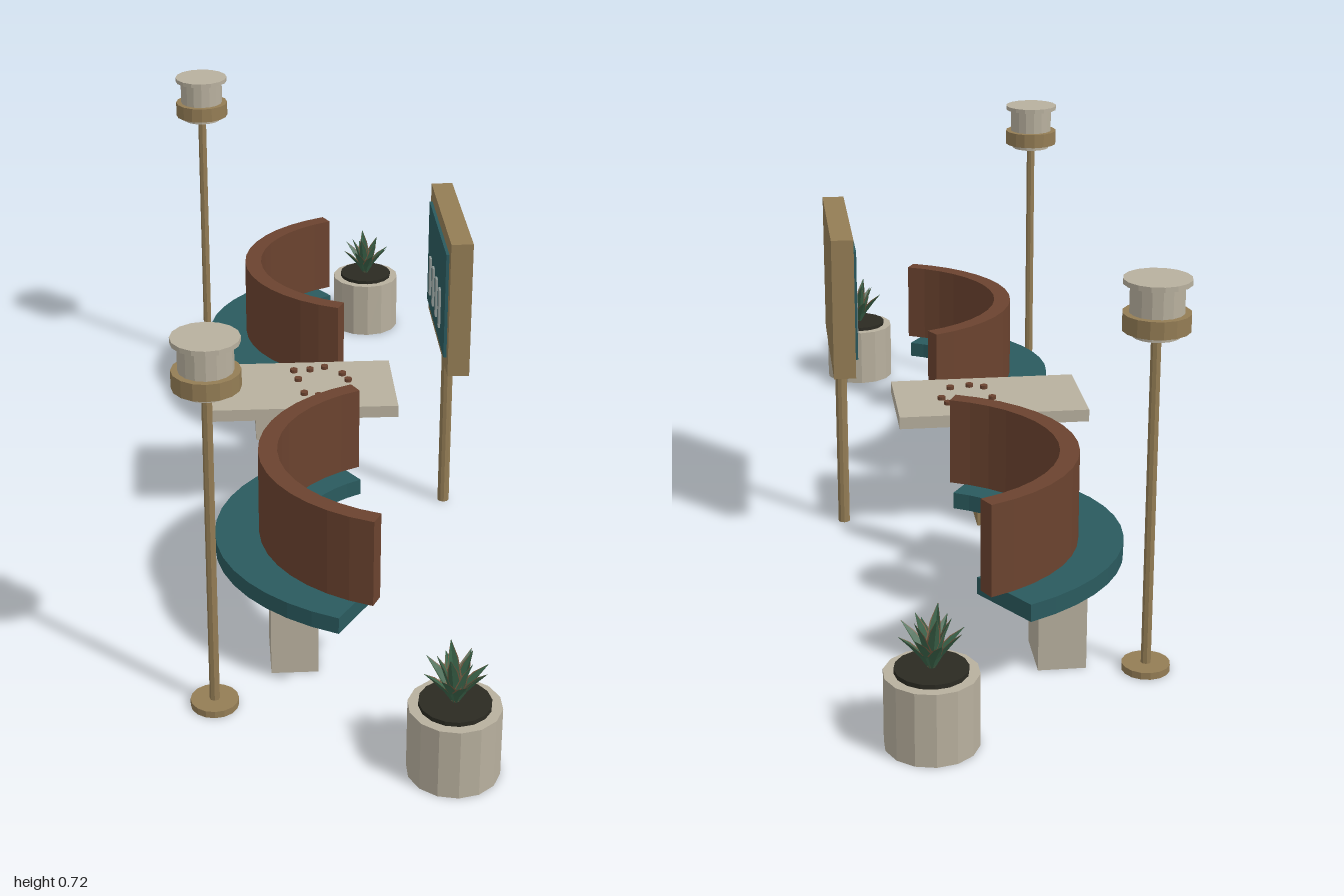
import * as THREE from 'three';

const mat = (name, color, extra = {}) => {
  const m = new THREE.MeshStandardMaterial({ color, ...extra });
  m.name = name;
  return m;
};

export function createModel() {
  const concrete = mat('concrete', 0xb8b09e);
  const gold = mat('bronze', 0x947d55);
  const teal = mat('teal', 0x2a5a5e);
  const brown = mat('brownWood', 0x6b432f);
  const soilMat = mat('soil', 0x2b2a22);
  const green = mat('leafGreen', 0x3a6349, { side: THREE.DoubleSide });
  const edgeMat = mat('leafEdge', 0x7a5f45, { side: THREE.DoubleSide });
  const barMat = mat('paleGrey', 0x8f9a98);

  const model = new THREE.Group();
  model.name = 'plazaSeating';

  // faceted mesh helper
  const add = (parent, name, geo, material, x = 0, y = 0, z = 0) => {
    const g = geo.index ? geo.toNonIndexed() : geo;
    g.computeVertexNormals();
    const m = new THREE.Mesh(g, material);
    m.name = name;
    m.position.set(x, y, z);
    parent.add(m);
    return m;
  };
  // box and cylinder placed by their bottom height
  const box = (p, name, material, w, h, d, x, y, z) =>
    add(p, name, new THREE.BoxGeometry(w, h, d), material, x, y + h / 2, z);
  const cyl = (p, name, material, r, y0, y1, sides = 16, x = 0, z = 0) =>
    add(p, name, new THREE.CylinderGeometry(r, r, y1 - y0, sides), material, x, (y0 + y1) / 2, z);
  const group = (name, x, z) => {
    const g = new THREE.Group();
    g.name = name;
    g.position.set(x, 0, z);
    model.add(g);
    return g;
  };

  // curved slab: elliptical arc band opening toward +x
  const arcSlab = (cx, ax, az, ratio, half, height) => {
    const n = 16, pts = [];
    const at = (k, t) => new THREE.Vector2(cx - ax * k * Math.cos(t), az * k * Math.sin(t));
    for (let i = 0; i <= n; i++) pts.push(at(1, half * (2 * i / n - 1)));
    for (let i = n; i >= 0; i--) pts.push(at(ratio, half * (2 * i / n - 1)));
    return new THREE.ExtrudeGeometry(new THREE.Shape(pts), { depth: height, bevelEnabled: false })
      .rotateX(Math.PI / 2);
  };

  // benches
  for (const z of [-0.493, 0.418]) {
    const bench = group('bench', 0, z);
    add(bench, 'seat', arcSlab(0.19, 0.413, 0.35, 0.615, 1.063, 0.032), teal, 0, 0.18, 0);
    add(bench, 'backrest', arcSlab(0.19, 0.33, 0.297, 0.892, 1.14, 0.17), brown, 0, 0.35, 0);
    for (const s of [-1, 1]) box(bench, 'benchLeg', concrete, 0.086, 0.148, 0.114, -0.083, 0, s * 0.146);
  }

  // table with game pieces
  const table = group('table', -0.0375, -0.017);
  box(table, 'tableTop', concrete, 0.382, 0.025, 0.214, 0, 0.245, 0);
  box(table, 'tableLeg', gold, 0.076, 0.245, 0.076, -0.0105, 0, -0.005);
  const pieces = [[-0.05, -0.08], [-0.016, -0.083], [0.015, -0.093], [0.05, -0.06], [0.06, -0.03],
    [-0.043, -0.038], [-0.034, 0.027], [-0.005, 0.04], [0.036, 0.03]];
  for (const [x, z] of pieces) cyl(table, 'gamePiece', brown, 0.008, 0.27, 0.277, 10, x + 0.0375, z + 0.017);

  // sign board facing -x
  const sign = group('sign', 0.262, 0);
  cyl(sign, 'signPost', gold, 0.012, 0, 0.375, 10);
  box(sign, 'signFrame', gold, 0.043, 0.278, 0.338, 0, 0.372, 0);
  box(sign, 'signPanel', teal, 0.006, 0.218, 0.29, -0.0245, 0.402, 0);
  for (let i = 0; i < 4; i++)
    box(sign, 'signBar', barMat, 0.004, 0.082, 0.016, -0.0295, 0.437, -0.087 + i * 0.054);

  // lamps
  for (const s of [-1, 1]) {
    const lamp = group('lamp', -0.23, s * 0.71);
    cyl(lamp, 'lampBase', gold, 0.043, 0, 0.013);
    cyl(lamp, 'lampPole', gold, 0.009, 0.013, 0.62, 8);
    cyl(lamp, 'lampCollar', concrete, 0.042, 0.62, 0.63);
    cyl(lamp, 'lampRing', gold, 0.0585, 0.63, 0.661);
    cyl(lamp, 'lampShade', concrete, 0.047, 0.661, 0.711);
    cyl(lamp, 'lampCap', concrete, 0.0585, 0.711, 0.72);
  }

  // leaf band between two fractions of the half width; the blade is folded along its middle
  const leafBand = (reach, height, w0, w1, k0, k1) => {
    const prof = [[0, 0.5], [0.35, 1], [0.7, 0.7], [1, 0.04]], pos = [], idx = [];
    for (const [t, w] of prof) for (const k of [k0, k1]) {
      const side = k * w * w0;
      pos.push(0.006 + reach * t ** 1.2 - Math.abs(side) * w1, height * t + Math.abs(side) * 0.35, side);
    }
    for (let i = 0; i < 3; i++) {
      const a = i * 2;
      idx.push(a, a + 1, a + 2, a + 1, a + 3, a + 2);
    }
    const g = new THREE.BufferGeometry();
    g.setAttribute('position', new THREE.Float32BufferAttribute(pos, 3));
    g.setIndex(idx);
    return g;
  };

  // planters
  for (const s of [-1, 1]) {
    const planter = group('planter', 0.17, s * 0.92);
    cyl(planter, 'pot', concrete, 0.08, 0, 0.131, 14);
    cyl(planter, 'soil', soilMat, 0.062, 0.131, 0.139, 16);
    for (const [count, reach, height, twist] of [[8, 0.05, 0.072, 0.2], [5, 0.027, 0.1, 0.5]])
      for (let i = 0; i < count; i++) {
        const leaf = new THREE.Group();
        leaf.name = 'leaf';
        leaf.position.y = 0.138;
        leaf.rotation.y = twist + i * 2 * Math.PI / count;
        planter.add(leaf);
        const h = height * (i % 2 ? 1 : 0.88);
        for (const k of [-1, 1]) {
          add(leaf, 'leafBlade', leafBand(reach, h, 0.013, 0.5, 0, 0.82 * k), green);
          add(leaf, 'leafMargin', leafBand(reach, h, 0.013, 0.5, 0.82 * k, k), edgeMat);
        }
      }
  }
  return model;
}
